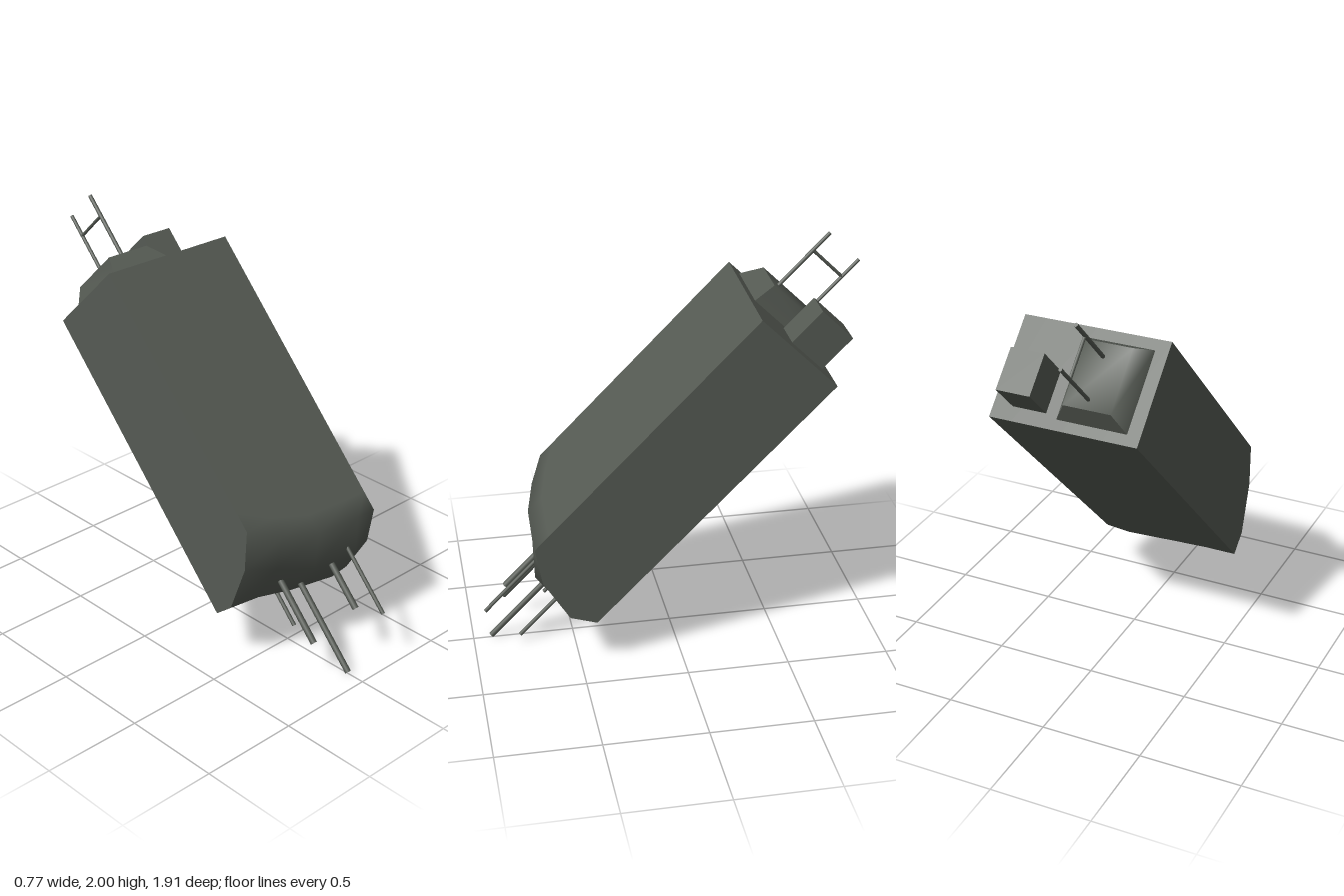
import * as THREE from 'three';

const hull = new THREE.MeshStandardMaterial({ color: 0x555a53 });
hull.name = 'dark grey green';

// Smooth sheet through rows of [x, y, z] points
function sheet(rows) {
  const n = rows[0].length, index = [];
  for (let i = 0; i < rows.length - 1; i++) {
    for (let j = 0; j < n - 1; j++) {
      const a = i * n + j, b = a + 1, c = a + n, d = c + 1;
      index.push(a, c, b, b, c, d);
    }
  }
  const g = new THREE.BufferGeometry();
  g.setAttribute('position', new THREE.Float32BufferAttribute(rows.flat(2), 3));
  g.setIndex(index);
  g.computeVertexNormals();
  return g;
}

// Flat convex polygon, corners counter-clockwise
function facet(points) {
  const g = new THREE.BufferGeometry(), index = [];
  for (let i = 1; i < points.length - 1; i++) index.push(0, i, i + 1);
  g.setAttribute('position', new THREE.Float32BufferAttribute(points.flat(), 3));
  g.setIndex(index);
  g.computeVertexNormals();
  return g;
}

export function createModel() {
  const model = new THREE.Group();
  model.name = 'tiltedModule';
  // Everything is built upright (y along the body), then leaned back
  const body = new THREE.Group();
  body.name = 'leaningBody';
  body.rotation.set(-0.773, 0, -0.016);
  body.position.x = -0.011;
  model.add(body);

  const add = (name, geometry, x = 0, y = 0, z = 0) => {
    const m = new THREE.Mesh(geometry, hull);
    m.name = name;
    m.position.set(x, y, z);
    body.add(m);
    return m;
  };

  // Main hull: straight prism with an uneven rounded lower end
  const TOP = 1.529, FRONT = 0.989, BACK = 0.478;
  const xs = [-0.37, -0.2, 0, 0.26, 0.37];
  const lowerEnd = [
    { z: FRONT, y: [0.16, 0.07, 0.01, 0, 0] },
    { z: 0.835, y: [0.016, -0.04, -0.12, -0.148, -0.11] },
    { z: 0.6, y: [-0.096, -0.11, -0.15, -0.182, -0.169] },
    { z: BACK, y: [-0.085, -0.085, -0.115, -0.157, -0.108] },
  ];
  const row = (y, z) => xs.map((x, i) => [x, Array.isArray(y) ? y[i] : y, z]);
  const frontTop = row(TOP, FRONT), backTop = row(TOP, BACK);
  const shoulder = row(lowerEnd[0].y.map((y) => y + 0.1), FRONT);
  const ends = lowerEnd.map((r) => row(r.y, r.z));
  add('frontAndLowerEnd', sheet([frontTop, shoulder, ...ends]));
  add('backPanel', sheet([ends[3], backTop]));
  add('topPanel', sheet([backTop, frontTop]));
  const outline = [frontTop, ...ends, backTop];
  add('leftPanel', facet(outline.map((r) => r[4])));
  add('rightPanel', facet(outline.map((r) => r[0]).reverse()));

  // Raised hatch on the top: softened across, sharp at front and back
  const hatchRow = (zBase, zTop) => [
    [-0.305, TOP, zBase], [-0.25, 1.636, zTop], [-0.015, 1.636, zTop], [0.045, TOP, zBase],
  ];
  const hatchBack = hatchRow(0.53, 0.57), hatchFront = hatchRow(0.935, 0.89);
  add('hatchTop', sheet([hatchBack, hatchFront]));
  add('hatchFront', facet([0, 3, 2, 1].map((i) => hatchFront[i])));
  add('hatchBack', facet(hatchBack));

  // Square block beside the hatch
  add('topBlock', new THREE.BoxGeometry(0.17, 0.202, 0.208), 0.188, 1.63, 0.652);

  // Thin rod running along the body between two heights
  const rod = (name, x, z, y0, y1, radius) =>
    add(name, new THREE.CylinderGeometry(radius, radius, y1 - y0, 8), x, (y0 + y1) / 2, z);

  // Twin aerial with a cross bar
  rod('frontAerial', -0.125, 0.825, 1.6, 1.985, 0.01);
  rod('backAerial', -0.125, 0.618, 1.6, 1.985, 0.009);
  const bar = rod('aerialCrossBar', -0.125, 0.7215, 1.767, 1.973, 0.008);
  bar.rotation.x = Math.PI / 2;

  // Probes hanging from the lower end: x, z, tip height, radius
  [
    [0.208, 0.872, -0.459, 0.01],
    [0.116, 0.821, -0.375, 0.016],
    [-0.133, 0.73, -0.426, 0.016],
    [0.018, 0.662, -0.624, 0.015],
    [0.079, 0.58, -0.507, 0.01],
    [-0.073, 0.58, -0.307, 0.01],
  ].forEach(([x, z, tip, r], i) => rod('probe' + (i + 1), x, z, tip, 0.0, r));

  return model;
}
